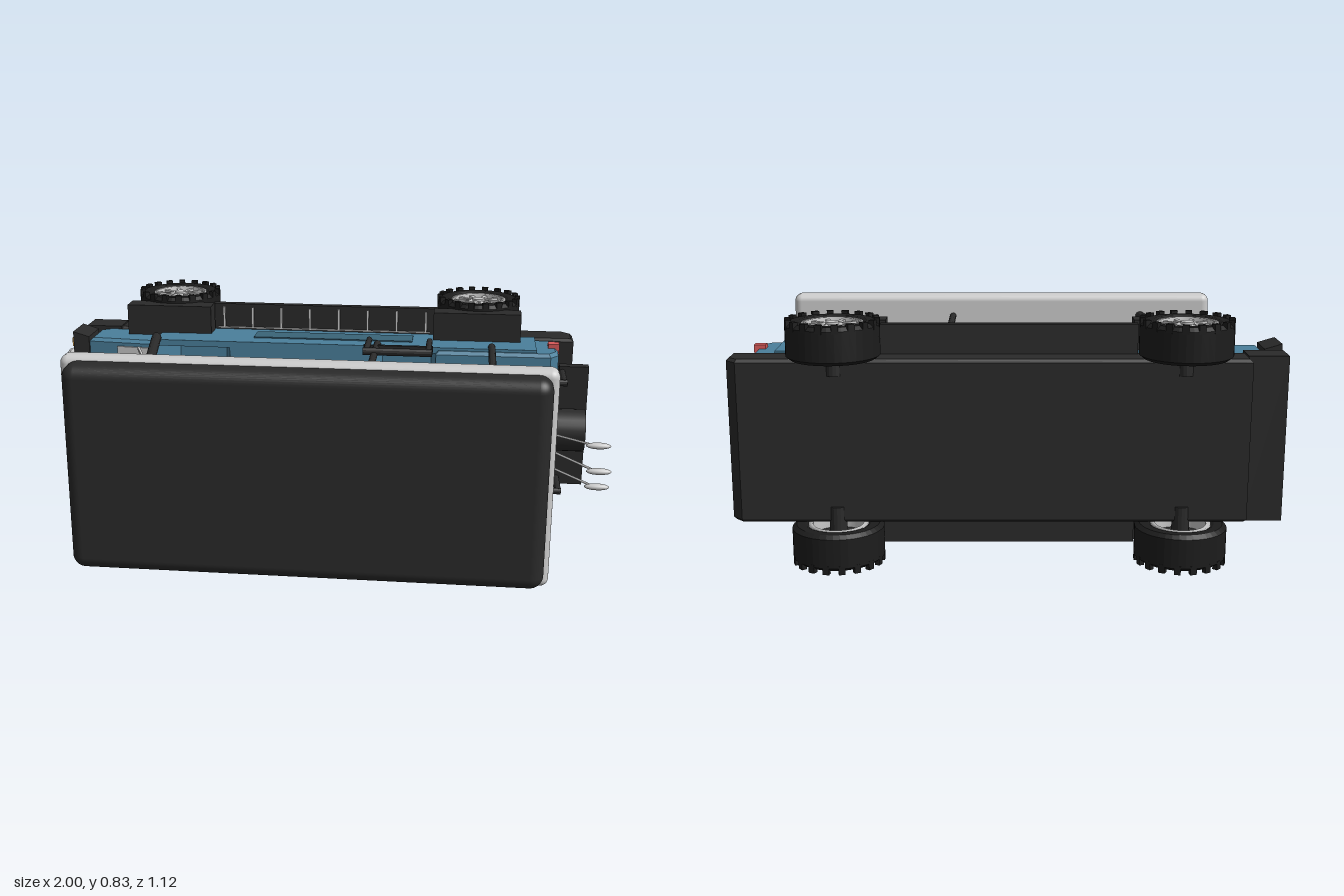
import * as THREE from 'three';
import { RoundedBoxGeometry } from 'three/addons/geometries/RoundedBoxGeometry.js';

// An open utility cart lying on its side: nose toward -x, roof toward +z, width along y.
const paint = (color) => new THREE.MeshStandardMaterial({ color, flatShading: false });
const flat = (color) => new THREE.MeshStandardMaterial({ color, flatShading: true });
const grey = paint(0xcccccc), blue = flat(0x4a7f9b), panelBlue = flat(0x3a6478);
const black = flat(0x2a2a2a), rubber = paint(0x1c1c1c), seatGrey = flat(0x464646);
const red = flat(0xd85a5a), amber = flat(0xd9a655), glassTint = paint(0xc3d3db);
glassTint.side = THREE.DoubleSide;

export function createModel() {
  const root = new THREE.Group();
  root.name = 'cart';
  const cart = new THREE.Group();
  cart.name = 'cartBody';
  cart.position.y = 0.417; // local y = 0 is the centre plane
  root.add(cart);

  const add = (name, geo, mat, x = 0, y = 0, z = 0, parent = cart) => {
    const m = new THREE.Mesh(geo, mat);
    m.name = name;
    m.position.set(x, y, z);
    parent.add(m);
    return m;
  };
  // box from its limits
  const box = (name, mat, x0, x1, y0, y1, z0, z1) =>
    add(name, new THREE.BoxGeometry(x1 - x0, y1 - y0, z1 - z0), mat,
      (x0 + x1) / 2, (y0 + y1) / 2, (z0 + z1) / 2);
  // straight round bar between two points
  const bar = (name, mat, a, b, r) => {
    const p = new THREE.Vector3(...a), d = new THREE.Vector3(...b).sub(p);
    const m = add(name, new THREE.CylinderGeometry(r, r, d.length(), 12), mat);
    m.position.copy(p).addScaledVector(d, 0.5);
    m.quaternion.setFromUnitVectors(new THREE.Vector3(0, 1, 0), d.normalize());
    return m;
  };
  // x-z outline extruded across the width, with bevelled sides
  const across = (name, mat, pts, width, bevel) => {
    const g = new THREE.ExtrudeGeometry(new THREE.Shape(pts.map((p) => new THREE.Vector2(...p))), {
      depth: width - 2 * bevel, bevelEnabled: bevel > 0, bevelSize: bevel, bevelOffset: -bevel,
      bevelThickness: bevel, bevelSegments: 1 });
    g.rotateX(Math.PI / 2).translate(0, width / 2 - bevel, 0);
    return add(name, g, mat);
  };
  // y-z cushion with cut corners, extruded along x
  const cushion = (name, x0, x1, halfW, z0, z1, tilt = 0) => {
    const c = 0.045, b = 0.02, h = (z1 - z0) / 2;
    const pts = [[-halfW, -h], [halfW, -h], [halfW, h - c], [halfW - c, h], [c - halfW, h], [-halfW, h - c]];
    const g = new THREE.ExtrudeGeometry(new THREE.Shape(pts.map((p) => new THREE.Vector2(...p))), {
      depth: x1 - x0 - 2 * b, bevelSize: b, bevelOffset: -b, bevelThickness: b, bevelSegments: 1 });
    g.translate(0, 0, -(x1 - x0) / 2 + b);
    g.applyMatrix4(new THREE.Matrix4().makeBasis(
      new THREE.Vector3(0, 1, 0), new THREE.Vector3(0, 0, 1), new THREE.Vector3(1, 0, 0)));
    add(name, g, seatGrey, (x0 + x1) / 2, 0, (z0 + z1) / 2).rotation.y = tilt;
  };

  // roof
  add('roofFrame', new RoundedBoxGeometry(1.62, 0.745, 0.08, 4, 0.028), grey, -0.005, 0, 0.449);
  add('roofTop', new RoundedBoxGeometry(1.58, 0.715, 0.13, 5, 0.045), paint(0x2a2a2a), -0.005, 0, 0.495);

  // chassis
  across('chassis', black, [[-0.83, -0.425], [0.87, -0.425], [0.905, -0.39], [0.905, -0.297], [-0.83, -0.297]], 0.56, 0.01);
  box('chassisNose', black, -0.955, -0.82, -0.285, 0.285, -0.39, -0.285);

  // body with a foot well, closed by side walls
  across('body', blue, [[-0.9, -0.27], [-0.86, -0.295], [0.84, -0.295], [0.84, -0.12], [0.81, -0.08],
    [0.4, -0.08], [0.38, -0.2], [0.2, -0.2], [0.17, -0.1], [-0.36, -0.1], [-0.4, -0.25], [-0.58, -0.25],
    [-0.64, -0.105], [-0.9, -0.13]], 0.55, 0.012);

  for (const s of [-1, 1]) {
    const span = (name, mat, x0, x1, y0, y1, z0, z1) =>
      box(name, mat, x0, x1, Math.min(s * y0, s * y1), Math.max(s * y0, s * y1), z0, z1);
    span('sideWall', blue, -0.64, 0.76, 0.262, 0.285, -0.295, -0.098);
    span('sidePanel', panelBlue, -0.28, 0.31, 0.28, 0.289, -0.25, -0.165);
    span('runningBoard', black, -0.46, 0.4, 0.27, 0.382, -0.33, -0.3);
    span('boardTrim', grey, -0.44, 0.37, 0.288, 0.293, -0.3, -0.293);
    for (let i = 0; i < 8; i++) {
      const x = -0.42 + i * 0.11;
      span('boardSlat', grey, x, x + 0.008, 0.29, 0.37, -0.3, -0.293);
    }
    // fenders
    for (const x of [-0.61, 0.545]) span('fender', black, x - 0.16, x + 0.16, 0.27, 0.388, -0.285, -0.208);
    // roof posts
    bar('frontPost', black, [-0.64, s * 0.288, -0.12], [-0.545, s * 0.288, 0.42], 0.018);
    bar('middlePost', black, [0.185, s * 0.288, -0.12], [0.185, s * 0.288, 0.42], 0.013);
    bar('rearPost', black, [0.6, s * 0.288, -0.12], [0.6, s * 0.288, 0.42], 0.013);
    // arm rest loop
    bar('armRestLeg', black, [0.155, s * 0.3, -0.13], [0.155, s * 0.3, 0.04], 0.011);
    bar('armRestLeg', black, [0.375, s * 0.3, -0.13], [0.375, s * 0.3, 0.04], 0.011);
    bar('armRest', black, [0.145, s * 0.3, 0.04], [0.39, s * 0.3, 0.04], 0.014);
    span('armRestFoot', black, 0.14, 0.39, 0.28, 0.3, -0.06, -0.045);
    // windshield side strip
    const strip = add('windshieldStrip', new THREE.BoxGeometry(0.008, 0.012, 0.45), grey, -0.61, s * 0.262, 0.16);
    strip.rotation.y = 0.37;
    // rear lamps, handles and head lamps
    span('tailLamp', red, 0.805, 0.845, 0.255, 0.29, -0.215, -0.175);
    bar('rearHandlePost', black, [0.855, s * 0.203, -0.15], [0.855, s * 0.203, 0.03], 0.012);
    bar('rearHandle', black, [0.865, s * 0.203, 0.025], [0.74, s * 0.203, 0.025], 0.012);
    bar('seatHandle', black, [0.74, s * 0.203, 0.025], [0.73, s * 0.203, 0.13], 0.012);
    for (const z of [-0.235, -0.15]) span('indicator', amber, -0.97, -0.925, 0.24, 0.272, z - 0.012, z + 0.012);
    add('headLampHousing', new RoundedBoxGeometry(0.03, 0.1, 0.075, 2, 0.012), grey, -0.97, s * 0.175, -0.165);
    for (const d of [-0.024, 0.024]) {
      const lamp = add('headLamp', new THREE.SphereGeometry(0.024, 16, 10), grey, -0.982, s * 0.175 + d, -0.165);
      lamp.scale.x = 0.75;
    }
  }

  // front and rear bumpers
  const prow = new THREE.BoxGeometry(0.06, 0.6, 0.13);
  for (let i = 0, p = prow.attributes.position; i < p.count; i++) if (p.getX(i) > 0) p.setY(i, p.getY(i) * 0.94);
  add('frontBumper', prow, black, -0.93, 0, -0.185);
  box('frontPlate', grey, -0.98, -0.95, -0.06, 0.06, -0.205, -0.135);
  box('rearBumper', black, 0.845, 0.95, -0.225, 0.225, -0.152, -0.112);
  box('rearStepPost', black, 0.83, 0.87, -0.2, 0.2, -0.2, -0.14);

  // windshield glass
  const glass = add('windshield', new THREE.BoxGeometry(0.006, 0.5, 0.39), glassTint, -0.595, 0, 0.172);
  glass.rotation.y = -0.31;
  box('cowl', grey, -0.79, -0.64, -0.25, 0.25, -0.125, -0.105).rotation.y = -0.1;
  box('mirror', black, -0.74, -0.715, -0.03, 0.03, -0.09, -0.075);

  // seats
  across('frontSeat', seatGrey, [[-0.36, -0.11], [0.18, -0.11], [0.18, 0.01], [-0.33, 0.01], [-0.42, -0.03], [-0.4, -0.08]].reverse(), 0.455, 0.015);
  cushion('frontSeatBack', 0.165, 0.27, 0.228, -0.06, 0.21, -0.05);
  across('rearSeat', seatGrey, [[0.4, -0.09], [0.74, -0.09], [0.74, 0], [0.43, 0], [0.4, -0.03]], 0.455, 0.015);
  cushion('rearSeatBack', 0.675, 0.785, 0.225, -0.04, 0.185, 0.06);

  // steering
  bar('steeringColumn', black, [-0.34, -0.11, -0.01], [-0.18, -0.11, 0.1], 0.011);
  const steer = new THREE.Group();
  steer.name = 'steeringWheel';
  steer.position.set(-0.17, -0.11, 0.108);
  steer.rotation.y = 0.9;
  cart.add(steer);
  add('steeringRim', new THREE.TorusGeometry(0.065, 0.009, 8, 28), rubber, 0, 0, 0, steer);
  for (let i = 0; i < 3; i++) {
    const spoke = add('steeringSpoke', new THREE.BoxGeometry(0.13, 0.012, 0.008), black, 0, 0, 0, steer);
    spoke.rotation.z = i * Math.PI / 3;
  }

  // bag and clubs
  const bag = add('bag', new THREE.CylinderGeometry(0.075, 0.075, 0.16, 24), paint(0x2a2a2a), 0.85, 0.038, 0.047);
  bag.rotation.z = Math.PI / 2;
  box('bagPocket', black, 0.78, 0.9, -0.05, 0.05, -0.05, -0.025);
  for (const [y0, y1, z1] of [[0.05, 0.063, 0.285], [-0.007, -0.007, 0.342], [-0.067, -0.072, 0.314]]) {
    bar('clubShaft', grey, [0.79, y0, 0.12], [0.95, y1, z1], 0.004);
    add('clubHead', new THREE.SphereGeometry(1, 16, 10), grey, 0.958, y1, z1).scale.set(0.042, 0.011, 0.015);
  }

  // wheels, their axles along y
  const tyre = [[0.1, -0.055], [0.112, -0.062], [0.14, -0.062], [0.155, -0.05], [0.155, 0.05], [0.14, 0.062],
    [0.112, 0.062], [0.1, 0.055], [0.1, -0.055]].map((p) => new THREE.Vector2(...p));
  const rim = [[0.086, -0.06], [0.102, -0.06], [0.102, 0.058], [0.086, 0.058], [0.086, -0.06]].map((p) => new THREE.Vector2(...p));
  const tyreMat = flat(0x1c1c1c), rimMat = paint(0xcccccc);
  rimMat.side = THREE.DoubleSide;
  for (const x of [-0.61, 0.548]) for (const s of [-1, 1]) {
    const wheel = new THREE.Group();
    wheel.name = 'wheel';
    wheel.position.set(x, s * 0.345, -0.405);
    if (s < 0) wheel.rotation.x = Math.PI;
    cart.add(wheel);
    add('tyre', new THREE.LatheGeometry(tyre, 40), tyreMat, 0, 0, 0, wheel);
    add('rim', new THREE.LatheGeometry(rim, 40), rimMat, 0, 0, 0, wheel);
    add('brakeDisc', new THREE.CylinderGeometry(0.087, 0.087, 0.03, 32), black, 0, 0, 0, wheel);
    add('hub', new THREE.CylinderGeometry(0.022, 0.026, 0.05, 20), grey, 0, 0.034, 0, wheel);
    add('axle', new THREE.CylinderGeometry(0.03, 0.03, 0.12, 16), black, 0, -0.06, 0, wheel);
    for (let i = 0; i < 10; i++) {
      const a = (i / 10) * Math.PI * 2;
      const spoke = add('spoke', new THREE.BoxGeometry(0.074, 0.014, 0.015), grey, 0.053 * Math.cos(a), 0.045, 0.053 * Math.sin(a), wheel);
      spoke.rotation.y = -a;
    }
    for (let i = 0; i < 18; i++) {
      const a = (i / 18) * Math.PI * 2;
      const lug = add('treadLug', new THREE.BoxGeometry(0.018, 0.03, 0.022), tyreMat, 0.146 * Math.cos(a), 0.057, 0.146 * Math.sin(a), wheel);
      lug.rotation.y = -a;
    }
  }
  return root;
}
